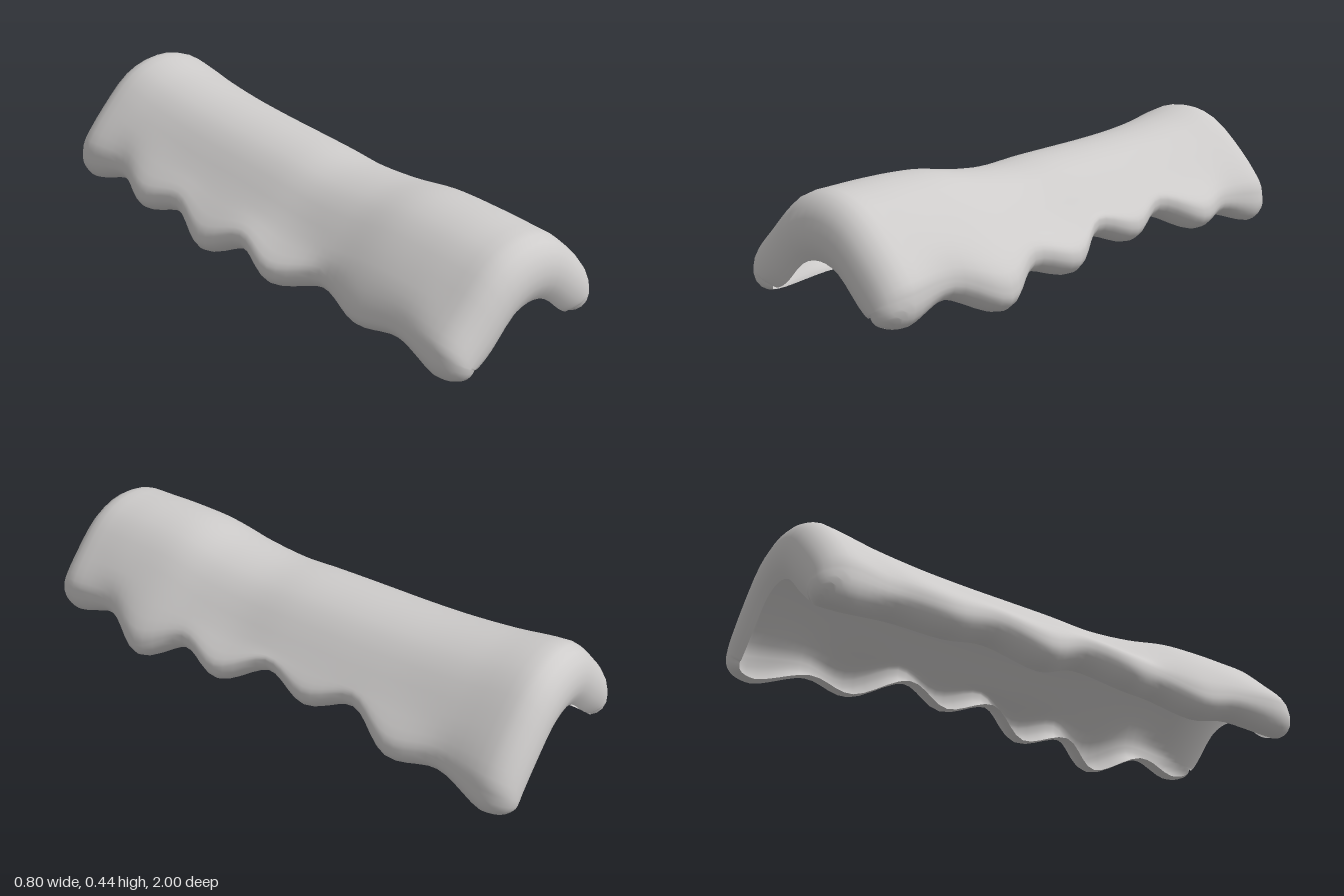
import * as THREE from 'three';

// Eleven stations evenly spaced from back (-z) to front (+z)
const RIDGE = [0.445, 0.415, 0.395, 0.385, 0.38, 0.375, 0.366, 0.38, 0.41, 0.415, 0.41];
const SIDES = {
  '1': { // scalloped hem on +x: outer reach and lowest height
    reach: [0.375, 0.345, 0.375, 0.30, 0.34, 0.305, 0.375, 0.335, 0.40, 0.33, 0.345],
    low: [0.015, 0.065, 0.05, 0.12, 0.07, 0.115, 0.04, 0.075, 0.003, 0.07, 0.035],
  },
  '-1': { // scalloped hem on -x
    reach: [0.38, 0.345, 0.395, 0.36, 0.405, 0.36, 0.395, 0.32, 0.345, 0.335, 0.36],
    low: [0.02, 0.06, 0.03, 0.07, 0.01, 0.075, 0.035, 0.07, 0.03, 0.065, 0.035],
  },
};
const END_Z = 0.9, END_OUT = 0.1, END_DEPTH = 0.125, SIDE_DEPTH = 0.07;
const SIDE_ROLL = THREE.MathUtils.degToRad(120), END_ROLL = THREE.MathUtils.degToRad(135);
const ROLL_STEPS = 8, ARCH_STEPS = 24, LENGTH_STEPS = 50;

// Smooth lookup in a station table, t from 0 to 1
function sample(table, t) {
  const curve = new THREE.SplineCurve(table.map((v, i) => new THREE.Vector2(i, v)));
  return curve.getPoint(t).y;
}

// Direction and size of the lip at the ends; f runs from -1 through the ridge (0) to 1
function endLip(f) {
  const angle = f * Math.PI / 3;
  return new THREE.Vector2(-Math.sin(angle), -Math.cos(angle))
    .multiplyScalar(END_DEPTH * (1 - 0.38 * f * f));
}

// Where a hem starts to roll under; the roll is fuller near the ends
function hem(side, t) {
  const radius = 0.055 + 0.035 * THREE.MathUtils.smoothstep(Math.abs(2 * t - 1), 0.8, 1);
  const drop = Math.hypot(0.97 * radius, 0.25 * SIDE_DEPTH) + 0.25 * SIDE_DEPTH;
  return {
    p: new THREE.Vector2(side * (sample(SIDES[side].reach, t) - 0.002), sample(SIDES[side].low, t) + drop),
    out: new THREE.Vector2(side * 0.25, -0.97).multiplyScalar(radius),
    sideIn: new THREE.Vector2(side * -0.97, -0.25).multiplyScalar(SIDE_DEPTH),
    endIn: endLip(side),
  };
}

// Arched cross-section from the -x hem over the ridge to the +x hem
function section(t) {
  const h = sample(RIDGE, t), left = hem(1, t), right = hem(-1, t);
  const half = (side, p) => {
    const shoulder = new THREE.Vector2(side * 0.268, h - 0.15);
    const flank = new THREE.Vector2(
      THREE.MathUtils.lerp(shoulder.x, p.x, 0.85), THREE.MathUtils.lerp(shoulder.y, p.y, 0.65));
    return [new THREE.Vector2(side * 0.138, h - 0.036), shoulder, flank, p];
  };
  const curve = new THREE.SplineCurve(
    [...half(-1, right.p).reverse(), new THREE.Vector2(0, h), ...half(1, left.p)]);

  const cols = [], zero = new THREE.Vector2();
  for (let i = ROLL_STEPS; i > 0; i--) cols.push({ ...right, roll: i / ROLL_STEPS });
  for (let i = 0; i <= ARCH_STEPS; i++) {
    const u = i / ARCH_STEPS;
    cols.push({ p: curve.getPoint(u), out: zero, sideIn: zero, endIn: endLip(2 * u - 1), roll: 0 });
  }
  for (let i = 1; i <= ROLL_STEPS; i++) cols.push({ ...left, roll: i / ROLL_STEPS });
  return cols;
}

// Open sheet: arched along its length, with all four edges rolled under
function coverGeometry() {
  const rows = [];
  for (let i = ROLL_STEPS; i > 0; i--) rows.push({ t: 0, roll: i / ROLL_STEPS, end: -1 });
  for (let i = 0; i <= LENGTH_STEPS; i++) rows.push({ t: i / LENGTH_STEPS, roll: 0, end: 1 });
  for (let i = 1; i <= ROLL_STEPS; i++) rows.push({ t: 1, roll: i / ROLL_STEPS, end: 1 });

  const positions = [], index = [];
  let width = 0;
  for (const row of rows) {
    const cols = section(row.t);
    width = cols.length;
    for (const c of cols) {
      // Side roll and end roll merge into one rounded corner
      const alpha = Math.atan2(row.roll, c.roll), s = Math.sin(alpha) ** 2;
      const rho = Math.max(c.roll, row.roll) * THREE.MathUtils.lerp(SIDE_ROLL, END_ROLL, s);
      const depth = 1 - Math.cos(rho);
      const q = c.p.clone()
        .addScaledVector(c.out, Math.sin(rho) * Math.cos(alpha))
        .addScaledVector(c.sideIn, depth * (1 - s))
        .addScaledVector(c.endIn, depth * s);
      const z = (row.t * 2 - 1) * END_Z + row.end * END_OUT * Math.sin(rho) * Math.sin(alpha);
      positions.push(q.x, q.y, z);
    }
  }
  for (let r = 0; r < rows.length - 1; r++) {
    for (let c = 0; c < width - 1; c++) {
      const a = r * width + c, b = a + 1, d = a + width, e = d + 1;
      index.push(a, d, b, b, d, e);
    }
  }
  const g = new THREE.BufferGeometry();
  g.setAttribute('position', new THREE.Float32BufferAttribute(positions, 3));
  g.setIndex(index);
  g.computeVertexNormals();

  // Rest on the ground, centred
  g.computeBoundingBox();
  const b = g.boundingBox;
  g.translate(-(b.min.x + b.max.x) / 2, -b.min.y, -(b.min.z + b.max.z) / 2);
  return g;
}

export function createModel() {
  const group = new THREE.Group();
  group.name = 'archedCover';
  const material = new THREE.MeshStandardMaterial({ color: 0xcecccb, side: THREE.DoubleSide });
  material.name = 'warm grey';
  const cover = new THREE.Mesh(coverGeometry(), material);
  cover.name = 'scallopedShell';
  group.add(cover);
  return group;
}
